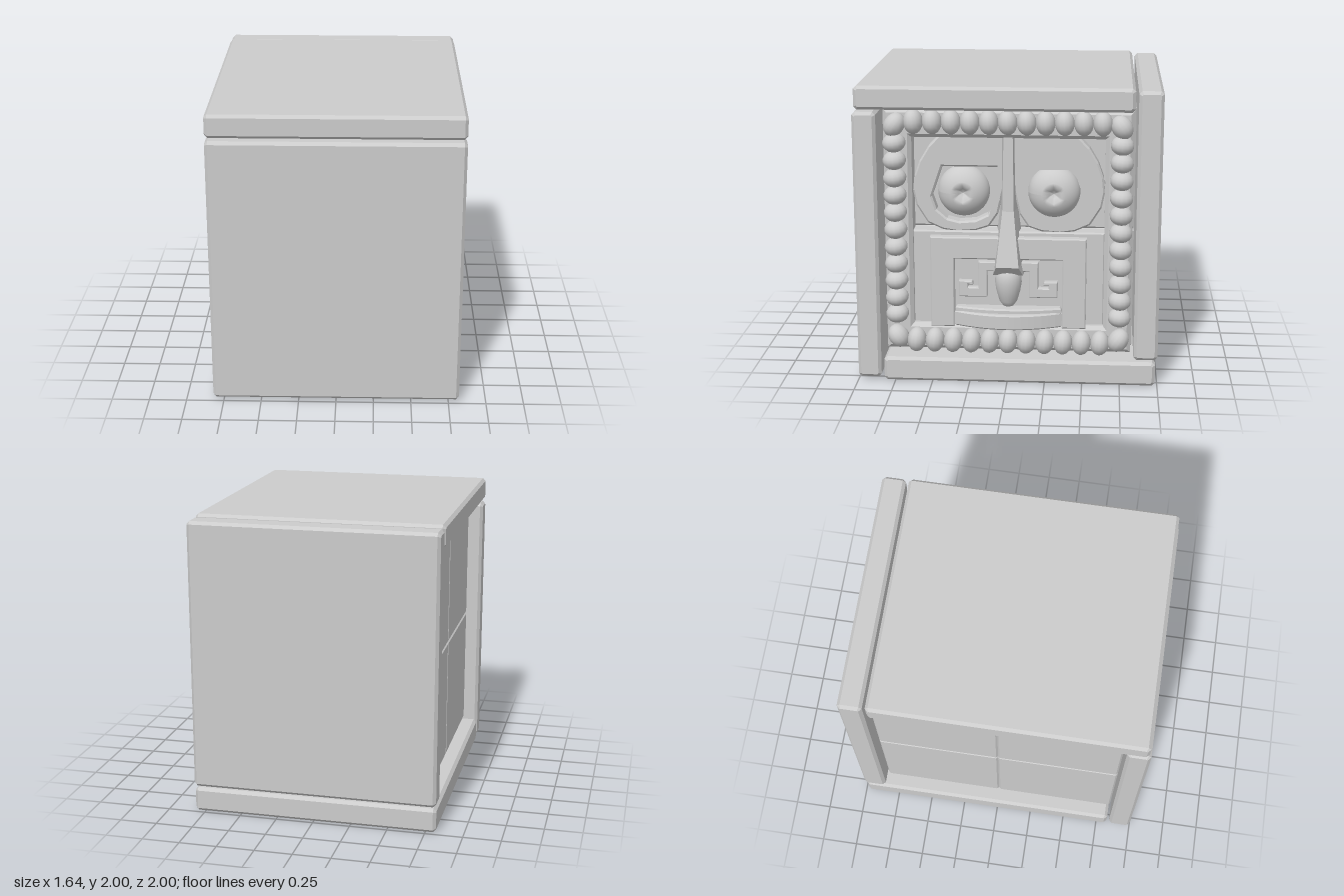
import * as THREE from 'three';

const mat = new THREE.MeshStandardMaterial({ color: 0xcccccc });
const matFlat = new THREE.MeshStandardMaterial({ color: 0xcccccc, flatShading: true, side: THREE.DoubleSide });

export function createModel() {
  const group = new THREE.Group();

  function add(name, geometry, material = mat) {
    const mesh = new THREE.Mesh(geometry, material);
    mesh.name = name;
    group.add(mesh);
    return mesh;
  }

  // Carved slab: outline in (u, y) with u = -z, extruded from x0 to x1 with chamfered rims
  function slab(name, pts, x0, x1, bevel = 0.01, hole = null) {
    const shape = new THREE.Shape(pts.map(p => new THREE.Vector2(...p)));
    if (hole) shape.holes.push(new THREE.Path(hole.map(p => new THREE.Vector2(...p))));
    const geo = new THREE.ExtrudeGeometry(shape, {
      depth: x1 - x0 - 2 * bevel, bevelEnabled: bevel > 0,
      bevelThickness: bevel, bevelSize: bevel, bevelOffset: -bevel, bevelSegments: 1,
    });
    geo.translate(0, 0, x0 + bevel);
    geo.rotateY(Math.PI / 2);
    return add(name, geo);
  }

  // Rectangle outline with cut corners
  const rect = (u0, u1, y0, y1, c = 0) => c
    ? [[u0 + c, y0], [u1 - c, y0], [u1, y0 + c], [u1, y1 - c], [u1 - c, y1], [u0 + c, y1], [u0, y1 - c], [u0, y0 + c]]
    : [[u0, y0], [u1, y0], [u1, y1], [u0, y1]];
  const mirror = (pts, s) => pts.map(([u, y]) => [u * s, y]);

  // Four outer plates, arranged as a pinwheel
  slab('frontPlate', rect(-1, -0.845, 0.02, 1.83, 0.02), -0.82, 0.82, 0.02);
  slab('topPlate', rect(-0.985, 0.82, 1.845, 2, 0.02), -0.82, 0.82, 0.02);
  slab('backPlate', rect(0.84, 1, 0.18, 1.985, 0.02), -0.82, 0.82, 0.02);
  slab('bottomPlate', rect(-0.825, 0.985, 0, 0.165, 0.02), -0.82, 0.82, 0.02);

  // Core of four blocks, their ends showing as tiles
  for (const u of [-0.832, 0])
    for (const y of [0.172, 1.004])
      slab('coreBlock', rect(u, u + 0.832, y, y + 0.832, 0.012), -0.72, 0.53, 0.012);

  // Frame carrying the beads, with a chamfered opening
  slab('beadFrame', rect(-0.82, 0.82, 0.18, 1.83), 0.5, 0.68, 0.025, rect(-0.635, 0.635, 0.36, 1.64));

  // Bead border
  const ball = new THREE.SphereGeometry(1, 14, 10);
  function bead(z, y, sz, sy, tilt) {
    const b = add('bead', ball);
    b.position.set(0.705, y, z);
    b.scale.set(0.08, sy, sz);
    b.rotation.x = tilt;
  }
  for (let i = 0; i < 11; i++) {
    for (const s of [-1, 1]) {
      bead(s * 0.742, 0.44 + i * 0.117, 0.077, 0.064, s * 0.1);
      bead((i - 5) * 0.123, 1.005 + s * 0.748, 0.064, 0.083, s * 0.08);
    }
  }
  for (const s of [-1, 1])
    for (const t of [-1, 1]) bead(s * 0.738, 1.005 + t * 0.725, 0.068, 0.082, s * t * -0.6);

  // Lower face: cheek block, jaw panel with a recess, mouth
  slab('cheekBlock', rect(-0.64, 0.64, 0.34, 1.0), 0.5, 0.63, 0.01);
  slab('jawPanel', [[-0.52, 0.345], [-0.36, 0.345], [-0.36, 0.82], [0.36, 0.82], [0.36, 0.345],
    [0.52, 0.345], [0.52, 0.97], [-0.52, 0.97]], 0.6, 0.685, 0.008);

  // Key-shaped scrolls beside the nose
  const scroll = [[0.02, 0.8], [0.2, 0.8], [0.2, 0.62], [0.27, 0.62], [0.27, 0.635], [0.24, 0.61], [0.24, 0.665],
    [0.33, 0.665], [0.33, 0.555], [0.14, 0.555], [0.14, 0.735], [0.02, 0.735]];
  scroll.splice(4, 2, [0.27, 0.64], [0.235, 0.64]);

  // Brow masks with eye sockets, and eyes with six-sided pupils
  const mask = [[0.03, 1.645], [0.46, 1.645], [0.53, 1.57], [0.59, 1.47], [0.625, 1.37], [0.635, 1.27], [0.615, 1.17],
    [0.54, 1.05], [0.44, 1.005], [0.34, 0.99], [0.22, 1.0], [0.13, 1.03], [0.07, 1.12], [0.03, 1.3]];
  const socket = [[0.07, 1.435], [0.44, 1.435], [0.51, 1.23], [0.48, 1.14], [0.41, 1.08], [0.33, 1.06],
    [0.22, 1.07], [0.14, 1.11], [0.07, 1.22]];

  const R = 0.173, pit = 0.06;
  const profile = [[0, 0.1], [0.03, 0.115], [pit, Math.sqrt(R * R - pit * pit)]];
  for (let i = 1; i <= 10; i++) {
    const a = 0.354 + (i / 10) * (Math.PI / 2 - 0.354);
    profile.push([R * Math.sin(a), R * Math.cos(a)]);
  }
  const eyeGeo = new THREE.LatheGeometry(profile.reverse().map(p => new THREE.Vector2(...p)), 36);
  const pos = eyeGeo.attributes.position;
  for (let i = 0; i < pos.count; i++) {
    const x = pos.getX(i), z = pos.getZ(i);
    if (Math.hypot(x, z) > pit + 0.001) continue;
    const sector = Math.PI / 3;
    const a = (Math.atan2(z, x) + 2 * Math.PI) % sector;
    const k = Math.cos(sector / 2) / Math.cos(a - sector / 2);
    pos.setX(i, x * k);
    pos.setZ(i, z * k);
  }
  eyeGeo.computeVertexNormals();
  eyeGeo.rotateZ(-Math.PI / 2);

  for (const s of [-1, 1]) {
    slab('scroll', mirror(scroll, s), 0.6, 0.675, 0.006);
    slab('browMask', mirror(mask, s), 0.5, 0.62, 0.012, mirror(socket, s));
    const eye = add('eye', eyeGeo);
    eye.position.set(0.565, 1.265, s * -0.3);
    eye.scale.x = 0.75;
  }

  // Nose: four-cornered sections [y, back half width, front half width, front x]
  const sections = [[1.655, 0.047, 0.03, 0.66], [1.15, 0.06, 0.038, 0.68], [0.79, 0.105, 0.075, 0.77], [0.72, 0.11, 0.1, 0.7]];
  const verts = [], index = [];
  for (const [y, b, f, x] of sections) verts.push(0.55, y, b, x, y, f, x, y, -f, 0.55, y, -b);
  for (let i = 0; i < 3; i++)
    for (let j = 0; j < 4; j++) {
      const a = i * 4 + j, b = i * 4 + (j + 1) % 4;
      index.push(a, a + 4, b, b, a + 4, b + 4);
    }
  index.push(0, 1, 2, 0, 2, 3, 12, 14, 13, 12, 15, 14);
  const nose = new THREE.BufferGeometry();
  nose.setAttribute('position', new THREE.Float32BufferAttribute(verts, 3));
  nose.setIndex(index);
  nose.computeVertexNormals();
  add('nose', nose, matFlat);

  // Drop below the nose
  const drop = add('noseDrop', new THREE.LatheGeometry(
    [[0, 0.485], [0.035, 0.495], [0.06, 0.53], [0.08, 0.6], [0.09, 0.66], [0.085, 0.72], [0.06, 0.75], [0, 0.755]]
      .map(p => new THREE.Vector2(...p)), 20));
  drop.position.x = 0.65;

  // Mouth: two curved lips, bowed outward in plan
  function lip(name, half, bulge, y0, y1) {
    const shape = new THREE.Shape();
    shape.moveTo(0.58, half);
    shape.lineTo(0.58, -half);
    shape.lineTo(0.67, -half);
    shape.quadraticCurveTo(bulge, 0, 0.67, half);
    const geo = new THREE.ExtrudeGeometry(shape, {
      depth: y1 - y0 - 0.02, bevelThickness: 0.01, bevelSize: 0.01, bevelOffset: -0.01, bevelSegments: 1, curveSegments: 16,
    });
    geo.rotateX(-Math.PI / 2);
    geo.translate(0, y0 + 0.01, 0);
    add(name, geo);
  }
  lip('lowerLip', 0.36, 0.85, 0.35, 0.455);
  lip('upperLip', 0.355, 0.78, 0.44, 0.485);

  return group;
}
